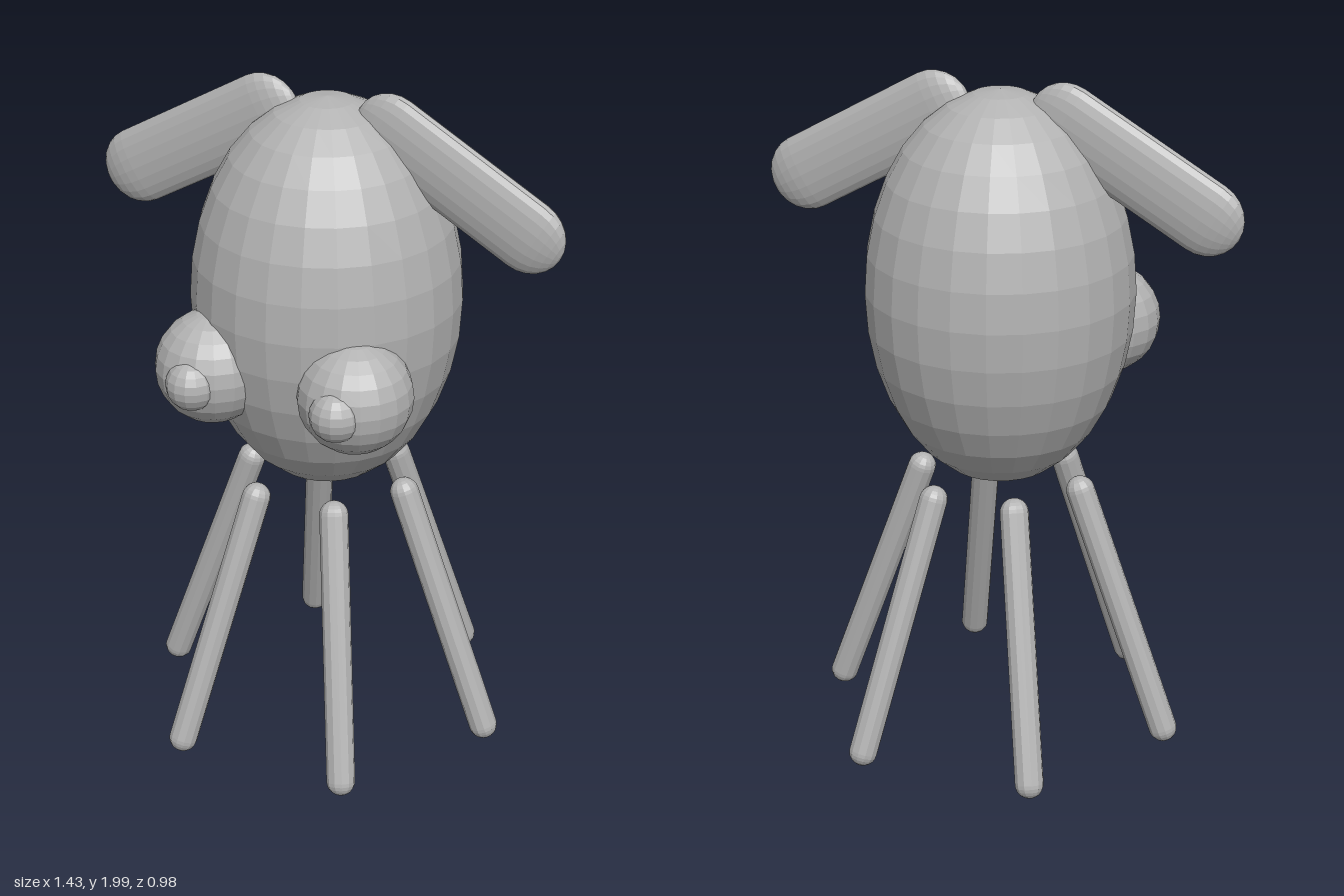
import * as THREE from 'three';

const grey = new THREE.MeshStandardMaterial({ color: 0xb2b2b2, flatShading: true });
grey.name = 'plain grey';

function add(parent, name, geometry, position) {
  const mesh = new THREE.Mesh(geometry, grey);
  mesh.name = name;
  mesh.position.copy(position);
  parent.add(mesh);
  return mesh;
}

// Round-ended rod between two points, optionally flattened along z
function rod(parent, name, a, b, radius, sides, flatten = 1) {
  const dir = b.clone().sub(a);
  const geometry = new THREE.CapsuleGeometry(radius, dir.length(), 6, sides);
  geometry.scale(1, 1, flatten);
  const mesh = add(parent, name, geometry, a.clone().add(b).multiplyScalar(0.5));
  mesh.quaternion.setFromUnitVectors(new THREE.Vector3(0, 1, 0), dir.normalize());
  return mesh;
}

export function createModel() {
  const model = new THREE.Group();
  model.name = 'sixLeggedCreature';
  const v = (x, y, z) => new THREE.Vector3(x, y, z);

  // Egg-shaped body
  const body = new THREE.SphereGeometry(0.39, 24, 16);
  body.scale(1, 1.5, 1);
  add(model, 'body', body, v(0, 1.377, 0));

  for (const [side, s] of [['left', 1], ['right', -1]]) {
    // Flat drooping ears
    rod(model, side + 'Ear', v(s * 0.195, 1.887, 0), v(s * 0.602, 1.655, 0), 0.111, 20, 0.36);

    // Bulging eyes with a small raised pupil
    const eye = new THREE.Group();
    eye.name = side + 'Eye';
    add(eye, 'eyeball', new THREE.SphereGeometry(0.164, 18, 12), v(s * 0.222, 1.218, 0.285));
    add(eye, 'pupil', new THREE.SphereGeometry(0.075, 14, 10), v(s * 0.222, 1.212, 0.408));
    model.add(eye);
  }

  // Six splayed legs in a ring
  for (let i = 0; i < 6; i++) {
    const a = (i * Math.PI) / 3;
    const c = Math.cos(a), n = Math.sin(a);
    rod(model, 'leg' + (i + 1), v(0.25 * c, 0.782, 0.25 * n), v(0.52 * c, 0.046, 0.52 * n), 0.042, 12);
  }
  return model;
}
